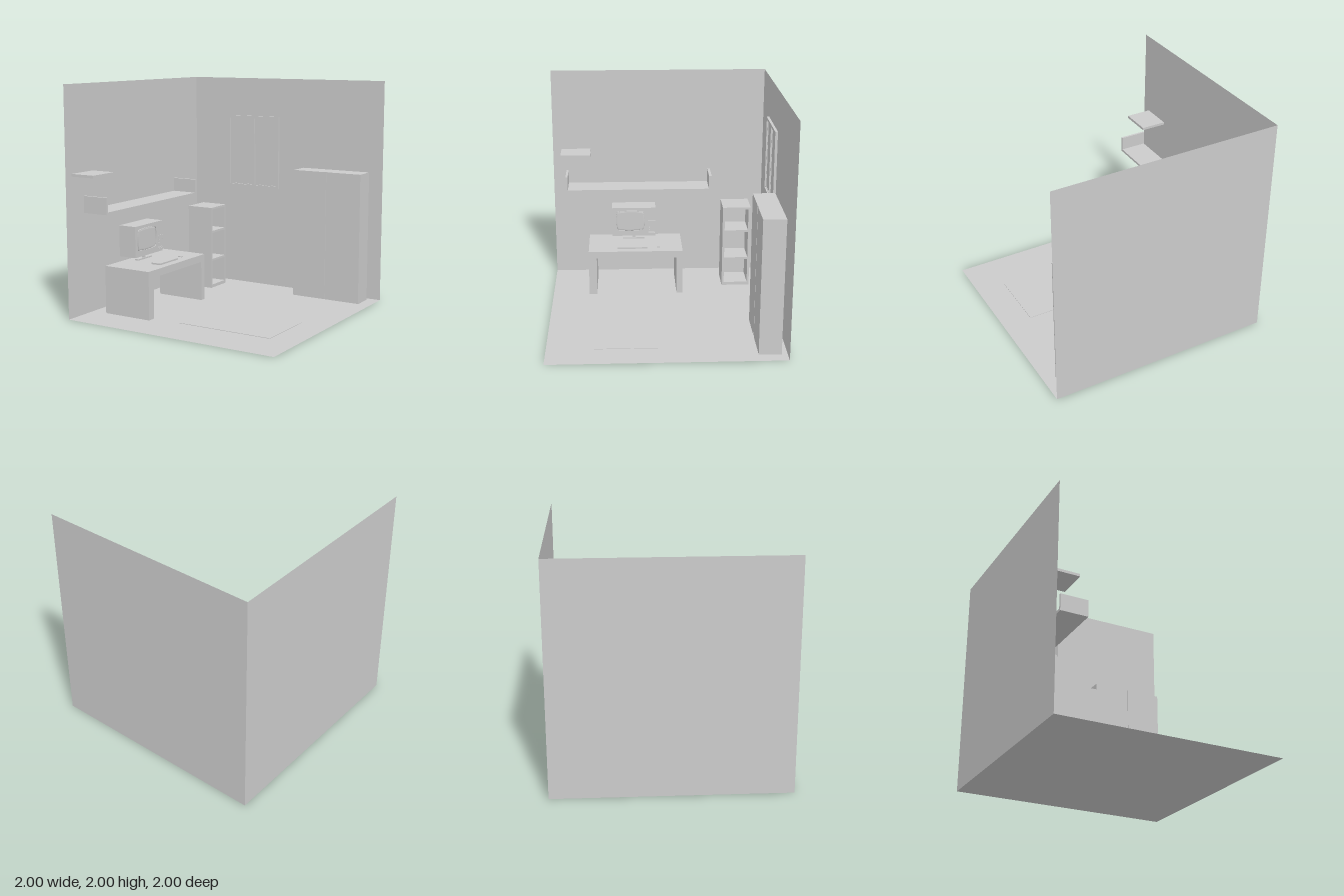
import * as THREE from 'three';

const grey = new THREE.MeshStandardMaterial({ color: 0xcccccc, flatShading: true });
const sheet = new THREE.MeshStandardMaterial({ color: 0xcccccc, side: THREE.DoubleSide });

function add(parent, name, geometry, material = grey) {
  const mesh = new THREE.Mesh(geometry, material);
  mesh.name = name;
  parent.add(mesh);
  return mesh;
}

// Box given by its extents on each axis
function box(parent, name, [x0, x1], [y0, y1], [z0, z1]) {
  const mesh = add(parent, name, new THREE.BoxGeometry(x1 - x0, y1 - y0, z1 - z0));
  mesh.position.set((x0 + x1) / 2, (y0 + y1) / 2, (z0 + z1) / 2);
  return mesh;
}

function group(parent, name) {
  const g = new THREE.Group();
  g.name = name;
  parent.add(g);
  return g;
}

function rectangle(path, x0, x1, y0, y1) {
  return path.moveTo(x0, y0).lineTo(x1, y0).lineTo(x1, y1).lineTo(x0, y1).closePath();
}

// Rounded outline with sides that bow outwards, for the picture tube
function tubeOutline(path, w, h, r, bow) {
  path.moveTo(-w + r, -h);
  path.quadraticCurveTo(0, -h - bow, w - r, -h);
  path.quadraticCurveTo(w, -h, w, -h + r);
  path.quadraticCurveTo(w + bow, 0, w, h - r);
  path.quadraticCurveTo(w, h, w - r, h);
  path.quadraticCurveTo(0, h + bow, -w + r, h);
  path.quadraticCurveTo(-w, h, -w, h - r);
  path.quadraticCurveTo(-w - bow, 0, -w, -h + r);
  path.quadraticCurveTo(-w, -h, -w + r, -h);
  return path;
}

function room(parent) {
  const floor = add(parent, 'floor', new THREE.PlaneGeometry(2, 2), sheet);
  floor.rotation.x = -Math.PI / 2;
  add(parent, 'backWall', new THREE.PlaneGeometry(2, 2), sheet).position.set(0, 1, -1);
  const side = add(parent, 'sideWall', new THREE.PlaneGeometry(2, 2), sheet);
  side.rotation.y = Math.PI / 2;
  side.position.set(-1, 1, 0);
  box(parent, 'rug', [-0.13, 0.74], [0, 0.004], [0.04, 0.6]);
}

function windowUnit(parent) {
  const g = group(parent, 'window');
  const shape = rectangle(new THREE.Shape(), -0.615, -0.06, 0.95, 1.64);
  const panes = [[-0.595, -0.342], [-0.325, -0.085]];
  for (const [a, b] of panes) {
    shape.holes.push(rectangle(new THREE.Path(), a, b, 0.972, 1.615));
    // Sash inside each opening, then the glass behind it
    const sash = rectangle(new THREE.Shape(), a, b, 0.972, 1.615);
    sash.holes.push(rectangle(new THREE.Path(), a + 0.006, b - 0.006, 0.978, 1.609));
    add(g, 'sash', new THREE.ExtrudeGeometry(sash, { depth: 0.012, bevelEnabled: false })).position.z = -0.999;
    box(g, 'pane', [a, b], [0.972, 1.615], [-0.998, -0.993]);
  }
  add(g, 'windowFrame', new THREE.ExtrudeGeometry(shape, { depth: 0.023, bevelEnabled: false })).position.z = -0.999;
}

function wardrobe(parent) {
  const g = group(parent, 'wardrobe');
  box(g, 'wardrobeBody', [0.225, 0.89], [0, 1.18], [-0.95, -0.767]);
  for (const x of [[0.225, 0.552], [0.566, 0.89]]) {
    box(g, 'wardrobeDoor', x, [0.003, 1.18], [-0.767, -0.759]);
  }
}

// Open bookcase facing +x
function bookcase(parent) {
  const g = group(parent, 'bookcase');
  const shape = rectangle(new THREE.Shape(), 0.59, 0.85, 0, 0.78);
  for (const [a, b] of [[0.03, 0.262], [0.282, 0.535], [0.555, 0.762]]) {
    shape.holes.push(rectangle(new THREE.Path(), 0.61, 0.83, a, b));
  }
  const frame = add(g, 'bookcaseFrame', new THREE.ExtrudeGeometry(shape, { depth: 0.24, bevelEnabled: false }));
  frame.rotation.y = Math.PI / 2;
  frame.position.x = -0.81;
  box(g, 'bookcaseBack', [-0.828, -0.81], [0, 0.78], [-0.85, -0.59]);
}

function shelves(parent) {
  const g = group(parent, 'longShelf');
  box(g, 'shelfBoard', [-0.912, -0.672], [0.915, 0.936], [-0.49, 0.874]);
  for (const z of [[-0.49, -0.465], [0.855, 0.874]]) {
    box(g, 'shelfEnd', [-0.912, -0.672], [0.936, 1.06], z);
  }
  box(parent, 'smallShelf', [-1, -0.77], [1.223, 1.246], [0.643, 0.92]);
}

function desk(parent) {
  const g = group(parent, 'desk');
  box(g, 'deskTop', [-0.862, -0.4], [0.357, 0.422], [-0.205, 0.665]);
  box(g, 'deskLeg', [-0.862, -0.4], [0, 0.357], [0.592, 0.665]);
  box(g, 'deskLeg', [-0.862, -0.4], [0, 0.357], [-0.205, -0.15]);
  box(g, 'keyboard', [-0.56, -0.47], [0.422, 0.436], [0.12, 0.398]);
  box(g, 'mouse', [-0.535, -0.495], [0.422, 0.43], [0.002, 0.028]);
}

// Old-style screen facing +x
function monitor(parent) {
  const g = group(parent, 'monitor');
  box(g, 'monitorCase', [-0.872, -0.7], [0.467, 0.745], [0.036, 0.445]);
  box(g, 'monitorNeck', [-0.77, -0.75], [0.434, 0.467], [0.229, 0.255]);
  box(g, 'monitorFoot', [-0.783, -0.742], [0.422, 0.434], [0.14, 0.345]);

  // Raised bezel around a slightly domed tube
  const ring = tubeOutline(new THREE.Shape(), 0.133, 0.096, 0.025, 0.012);
  ring.holes.push(tubeOutline(new THREE.Path(), 0.127, 0.09, 0.023, 0.012));
  const bezel = add(g, 'bezel', new THREE.ExtrudeGeometry(ring, { depth: 0.011, bevelEnabled: false, curveSegments: 8 }));
  const glass = tubeOutline(new THREE.Shape(), 0.115, 0.078, 0.02, 0.012);
  const tube = add(g, 'screen', new THREE.ExtrudeGeometry(glass, {
    depth: 0.001, bevelThickness: 0.004, bevelSize: 0.012, bevelSegments: 3, curveSegments: 8
  }));
  for (const part of [bezel, tube]) {
    part.rotation.y = Math.PI / 2;
    part.position.set(-0.7, 0.617, 0.274);
  }

  // Controls beside the tube
  box(g, 'controlStrip', [-0.7, -0.694], [0.61, 0.616], [0.038, 0.106]);
  for (let i = 0; i < 4; i++) {
    const y = 0.49 + i * 0.006;
    box(g, 'grilleSlat', [-0.7, -0.695], [y, y + 0.003], [0.04, 0.104]);
  }
  for (let i = 0; i < 5; i++) {
    const y = 0.525 + i * 0.016;
    box(g, 'button', [-0.7, -0.693], [y, y + 0.005], [0.088, 0.1]);
  }
  box(g, 'switch', [-0.7, -0.693], [0.575, 0.583], [0.039, 0.045]);
}

export function createModel() {
  const model = new THREE.Group();
  model.name = 'bedroom';
  for (const build of [room, windowUnit, wardrobe, bookcase, shelves, desk, monitor]) build(model);
  return model;
}
